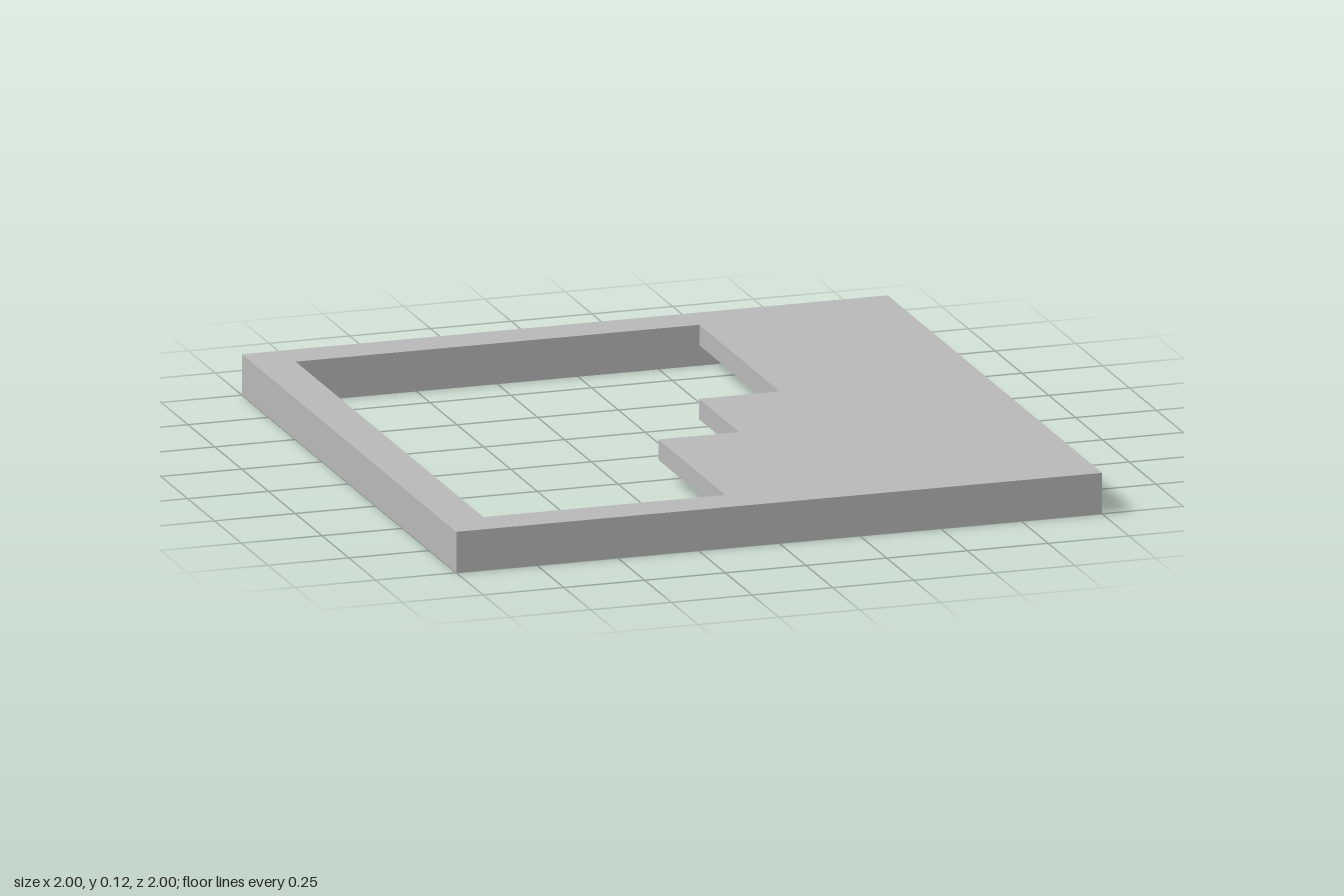
import * as THREE from 'three';

const HEIGHT = 0.125; // full height of the rim
const PLATE = 0.0625; // thickness of the stepped plate
const INNER = 0.875; // half width of the opening inside the rim

// Closed outline from [x, z] corners, drawn in plan
const outline = (points, Type = THREE.Shape) =>
  new Type(points.map(([x, z]) => new THREE.Vector2(x, -z)));

const square = (h) => [[-h, h], [h, h], [h, -h], [-h, -h]];

// Extrude a plan outline upwards from the given height
function slab(name, shape, bottom, depth, material) {
  const geometry = new THREE.ExtrudeGeometry(shape, { depth, bevelEnabled: false });
  geometry.rotateX(-Math.PI / 2);
  geometry.translate(0, bottom, 0);
  const mesh = new THREE.Mesh(geometry, material);
  mesh.name = name;
  return mesh;
}

export function createModel() {
  const group = new THREE.Group();
  group.name = 'steppedFrame';
  const grey = new THREE.MeshStandardMaterial({ color: 0xb9b9b9 });
  grey.name = 'grey';

  // Square rim, full height
  const rim = outline(square(1));
  rim.holes.push(outline(square(INNER), THREE.Path));
  group.add(slab('rim', rim, 0, HEIGHT, grey));

  // Thin plate flush with the top of the rim, its inner edge cut in steps
  const plate = outline([
    [-0.125, INNER], [INNER, INNER], [INNER, -INNER], [0.375, -INNER],
    [0.375, -0.125], [0.125, -0.125], [0.125, 0.25], [-0.125, 0.25],
  ]);
  group.add(slab('steppedPlate', plate, HEIGHT - PLATE, PLATE, grey));

  return group;
}
